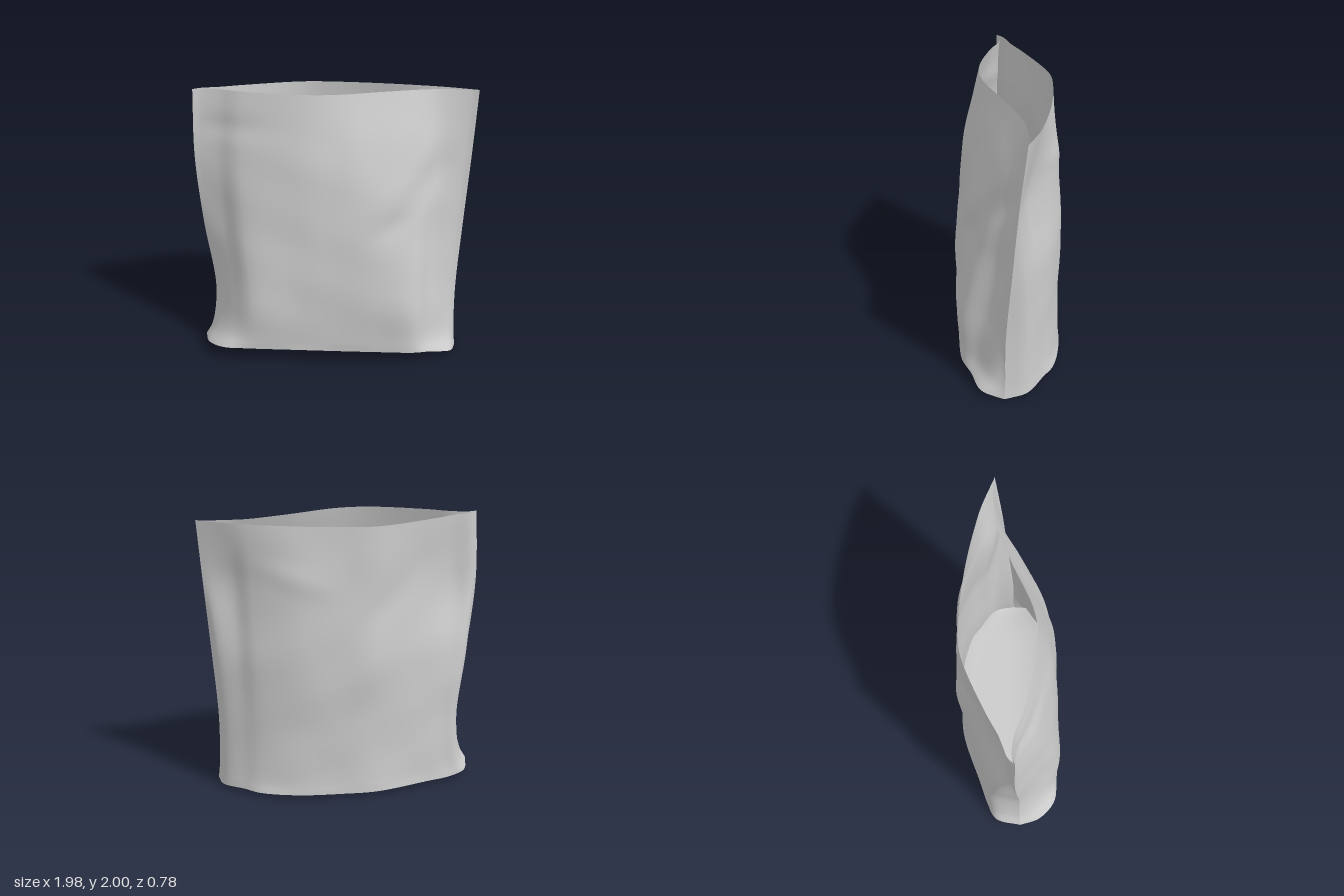
import * as THREE from 'three';
import { ParametricGeometry } from 'three/addons/geometries/ParametricGeometry.js';

// Shared column positions, from the left seam (+1) to the right seam (-1)
const COLS = [1, 0.95, 0.78, 0.65, 0.35, 0, -0.25, -0.65, -0.82, -0.95, -1];

// Levels from rim to floor: height, half widths, depth of front and back panel per column
const LEVELS = [
  { y: 1.98, l: 0.985, r: 0.975,
    front: [-0.1, -0.11, -0.105, -0.09, 0.02, 0.165, 0.185, 0.1, 0.04, 0.03, 0.05],
    back: [-0.1, -0.12, -0.185, -0.22, -0.28, -0.315, -0.305, -0.14, -0.05, 0, 0.05] },
  { y: 1.5, l: 0.955, r: 0.99,
    front: [-0.05, -0.05, 0, 0.09, 0.2, 0.285, 0.3, 0.215, 0.11, 0.06, 0.05],
    back: [-0.05, -0.07, -0.11, -0.2, -0.33, -0.345, -0.32, -0.11, -0.01, 0.01, 0.05] },
  { y: 1, l: 0.92, r: 0.95,
    front: [-0.01, 0, 0.08, 0.2, 0.31, 0.34, 0.35, 0.31, 0.18, 0.1, 0.07],
    back: [-0.01, -0.1, -0.19, -0.28, -0.365, -0.378, -0.35, -0.2, -0.13, -0.08, 0.07] },
  { y: 0.48, l: 0.89, r: 0.885,
    front: [0.03, 0.06, 0.19, 0.33, 0.37, 0.375, 0.38, 0.385, 0.28, 0.15, 0.09],
    back: [0.03, -0.12, -0.22, -0.285, -0.36, -0.37, -0.345, -0.23, -0.17, -0.12, 0.09] },
  { y: 0, l: 0.91, r: 0.98,
    front: [0.04, 0.2, 0.27, 0.335, 0.36, 0.375, 0.38, 0.385, 0.365, 0.25, 0.1],
    back: [0.04, -0.12, -0.24, -0.32, -0.38, -0.38, -0.36, -0.22, -0.16, -0.09, 0.1] },
];

// The floor rises towards the front edge and the right end, and dips at the left corner
const floorY = (x, z) => 0.03 + 0.65 * Math.max(z, 0) ** 2 + 0.6 * Math.max(-x - 0.75, 0) ** 2
  - 0.03 * Math.exp(-((x - 0.9) ** 2 + (z - 0.03) ** 2) / 0.03);

// One lengthwise curve per column of a panel
function panelColumns(side) {
  return COLS.map((f, i) => {
    const pts = LEVELS.map((lv, k) => {
      const z = lv[side][i];
      const x = f * (f > 0 ? lv.l : lv.r);
      const y = k === 0 ? lv.y + 0.11 * z : k === 4 ? floorY(x, z) : lv.y;
      return new THREE.Vector3(x, y, z);
    });
    // the foot flares out just above the floor
    const foot = pts[3].clone().lerp(pts[4], 0.45);
    foot.y = pts[4].y + 0.1;
    pts.splice(4, 0, foot);
    return new THREE.CatmullRomCurve3(pts);
  });
}

// Creases: x, y, tilt, length, width, depth
const CREASES = {
  front: [
    [0.66, 1.38, 0.9, 0.24, 0.11, -0.03], [0.45, 1.3, 0.85, 0.25, 0.11, 0.02],
    [0.42, 1.08, 0.6, 0.15, 0.07, -0.012], [0.7, 0.75, 1.57, 0.4, 0.07, -0.015],
    [-0.7, 1.75, 0.1, 0.25, 0.08, -0.02], [0.15, 1.65, 1.4, 0.2, 0.08, 0.01],
  ],
  back: [
    [-0.3, 1.4, -0.8, 0.25, 0.1, 0.02], [-0.2, 0.95, -1.1, 0.3, 0.1, -0.012],
    [0.35, 1.6, 0.3, 0.25, 0.08, -0.01],
  ],
};

function creaseDepth(list, x, y) {
  let d = 0.003 * Math.sin(9 * x + 4 * y) * Math.sin(11 * y - 3 * x);
  for (const [cx, cy, a, len, wid, depth] of list) {
    const dx = x - cx, dy = y - cy;
    const s = (dx * Math.cos(a) + dy * Math.sin(a)) / len;
    const t = (dy * Math.cos(a) - dx * Math.sin(a)) / wid;
    d += depth * Math.exp(-s * s - t * t);
  }
  return d;
}

// Point on a panel: u runs from seam to seam, v from rim to floor
function panelPoint(columns, side, u, v, target) {
  const row = new THREE.CatmullRomCurve3(columns.map((c) => c.getPoint(v)));
  row.getPoint(u, target);
  const fade = Math.min(1, 6 * u, 6 * (1 - u)) * Math.min(1, 8 * v, 8 * (1 - v));
  target.z += fade * creaseDepth(CREASES[side], target.x, target.y);
  return target;
}

export function createModel() {
  const bag = new THREE.Group();
  bag.name = 'openBag';
  const material = new THREE.MeshStandardMaterial({ color: 0xcccccc, side: THREE.DoubleSide });
  const columns = { front: panelColumns('front'), back: panelColumns('back') };
  const clamp = (t) => Math.min(1, Math.max(0, t));

  function add(name, fn, slices, stacks) {
    const geometry = new ParametricGeometry(
      (u, v, target) => fn(clamp(u), clamp(v), target), slices, stacks);
    geometry.computeVertexNormals();
    const mesh = new THREE.Mesh(geometry, material);
    mesh.name = name;
    bag.add(mesh);
  }

  // Front and back panels meet in a crease along the side seams
  add('frontPanel', (u, v, t) => panelPoint(columns.front, 'front', u, v, t), 80, 80);
  add('backPanel', (u, v, t) => panelPoint(columns.back, 'back', 1 - u, v, t), 80, 80);

  // Floor spans between the lower edges of both panels
  const a = new THREE.Vector3(), b = new THREE.Vector3();
  add('floor', (u, v, t) => {
    panelPoint(columns.front, 'front', u, 1, a);
    panelPoint(columns.back, 'back', u, 1, b);
    t.lerpVectors(a, b, v);
    t.y = THREE.MathUtils.lerp(t.y, floorY(t.x, t.z), Math.min(1, 8 * v * (1 - v)));
  }, 80, 16);

  return bag;
}
